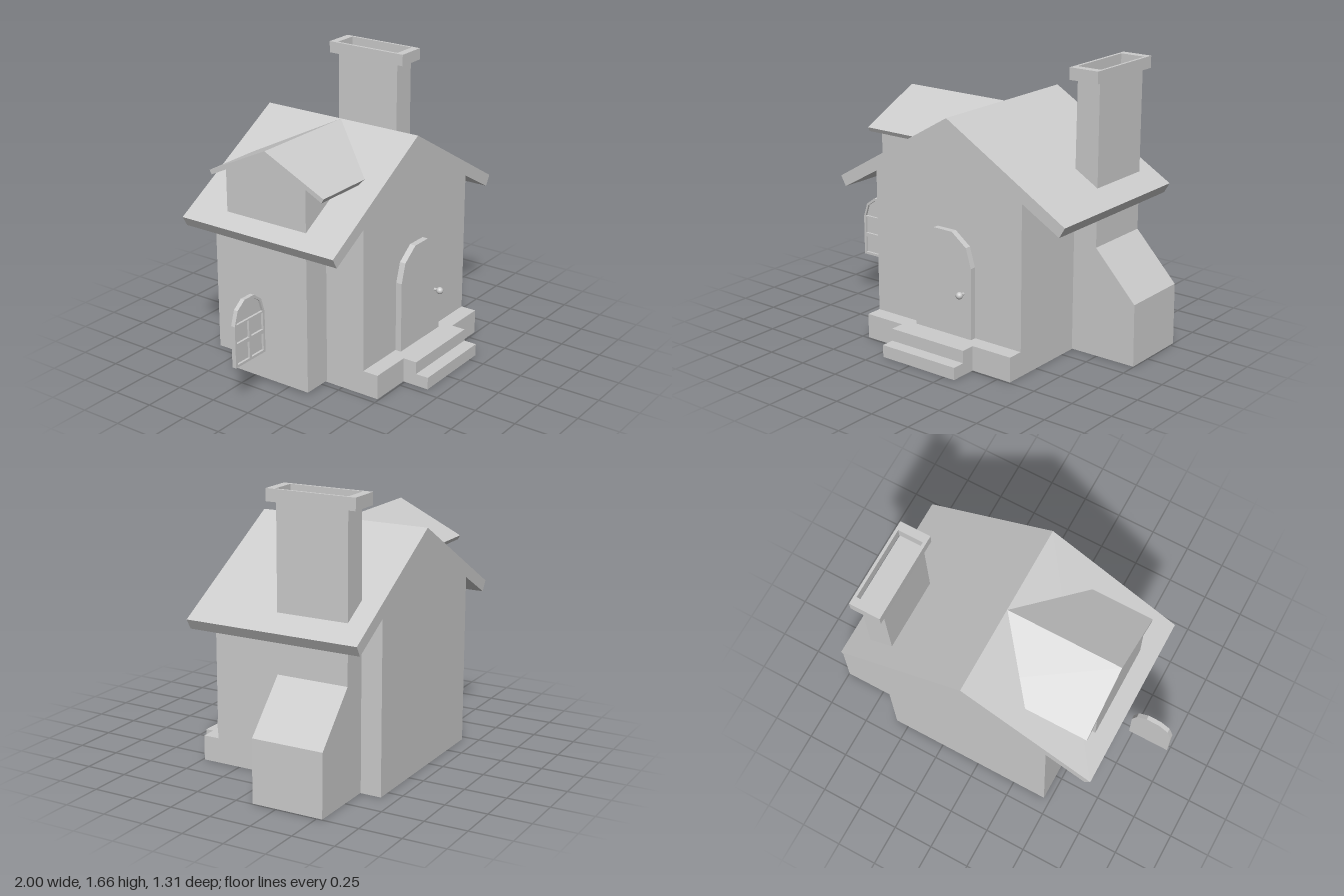
import * as THREE from 'three';

const material = new THREE.MeshStandardMaterial({ color: 0xcccccc });

function polygon(points, Type = THREE.Shape) {
  return new Type(points.map(([x, y]) => new THREE.Vector2(x, y)));
}

// Rectangle corners, counter-clockwise
const rect = (x0, y0, x1, y1) => [[x0, y0], [x1, y0], [x1, y1], [x0, y1]];

// Mirrors the right-hand half of an outline about x = cx
const mirrored = (half, cx) => [
  ...half.map(([dx, y]) => [cx + dx, y]),
  ...half.slice().reverse().filter(([dx]) => dx > 0).map(([dx, y]) => [cx - dx, y]),
];

function prism(points, depth, holes = []) {
  const shape = polygon(points);
  shape.holes = holes.map((h) => polygon(h, THREE.Path));
  return new THREE.ExtrudeGeometry(shape, { depth, bevelEnabled: false });
}

export function createModel() {
  const house = new THREE.Group();
  house.name = 'house';

  function add(name, geometry, x = 0, y = 0, z = 0, parent = house) {
    const mesh = new THREE.Mesh(geometry, material);
    mesh.name = name;
    mesh.position.set(x, y, z);
    parent.add(mesh);
    return mesh;
  }
  function box(name, [x0, x1], [y0, y1], [z0, z1], parent) {
    return add(name, new THREE.BoxGeometry(x1 - x0, y1 - y0, z1 - z0),
      (x0 + x1) / 2, (y0 + y1) / 2, (z0 + z1) / 2, parent);
  }

  // Main house: walls and overhanging gable roof in one section
  const gable = [[0.52, 0], [0.52, 1.0], [0.765, 0.86], [0.8, 0.92], [0, 1.39]];
  add('gabledBody', prism(mirrored(gable, 0.06), 1.05), 0, 0, -0.657);

  // Side wing with its own gable, running into the main roof ridge
  const wing = [[0.275, 0.01], [0.275, 1.228], [0.382, 1.175], [0.395, 1.2], [0, 1.389]];
  const wingGeometry = prism(mirrored(wing, -0.135), 0.7);
  wingGeometry.rotateY(-Math.PI / 2);
  add('sideWing', wingGeometry, 0.06);

  // Chimney: sloped breast, stack and hollow cap
  const chimney = new THREE.Group();
  chimney.name = 'chimney';
  house.add(chimney);
  const stack = [[0.58, 0.002], [0.998, 0.002], [0.993, 0.37], [0.73, 0.65], [0.73, 1.6], [0.585, 1.6], [0.58, 1.0]];
  add('chimneyStack', prism(stack, 0.43), 0, 0, -0.533, chimney);
  const cap = prism(rect(0.565, 0.052, 0.75, 0.587), 0.07, [rect(0.583, 0.102, 0.734, 0.537)]);
  cap.rotateX(-Math.PI / 2);
  add('chimneyCap', cap, 0, 1.595, 0, chimney);

  // Porch and steps
  box('porch', [-0.46, 0.58], [0, 0.147], [0.39, 0.49]);
  box('upperStep', [-0.2, 0.32], [0, 0.147], [0.48, 0.575]);
  box('lowerStep', [-0.2, 0.32], [0, 0.073], [0.57, 0.655]);

  // Arched door with a round knob
  const arch = [[0.2, 0.147], [0.2, 0.57], [0.165, 0.685], [0.065, 0.76]];
  add('door', prism(mirrored(arch, 0.06), 0.04), 0, 0, 0.39);
  add('doorKnob', new THREE.SphereGeometry(0.021, 16, 12), 0.207, 0.412, 0.466);
  const stem = new THREE.CylinderGeometry(0.009, 0.009, 0.04, 12);
  stem.rotateX(Math.PI / 2);
  add('knobStem', stem, 0.207, 0.412, 0.445);

  // Free-standing arched window: backing pane and frame with five openings
  const windowGroup = new THREE.Group();
  windowGroup.name = 'archedWindow';
  house.add(windowGroup);
  const cx = -0.8725;
  const outline = mirrored([[0.1275, 0.25], [0.1275, 0.5], [0.1, 0.585], [0.04, 0.63]], cx);
  const openings = [mirrored([[0.113, 0.505], [0.09, 0.575], [0.036, 0.614]], cx)];
  for (const x of [cx - 0.113, cx + 0.008]) {
    for (const y of [0.265, 0.392]) openings.push(rect(x, y, x + 0.105, y + 0.103));
  }
  add('windowPane', prism(outline, 0.012), 0, 0, -0.1, windowGroup);
  add('windowFrame', prism(outline, 0.014, openings), 0, 0, -0.088, windowGroup);

  return house;
}
